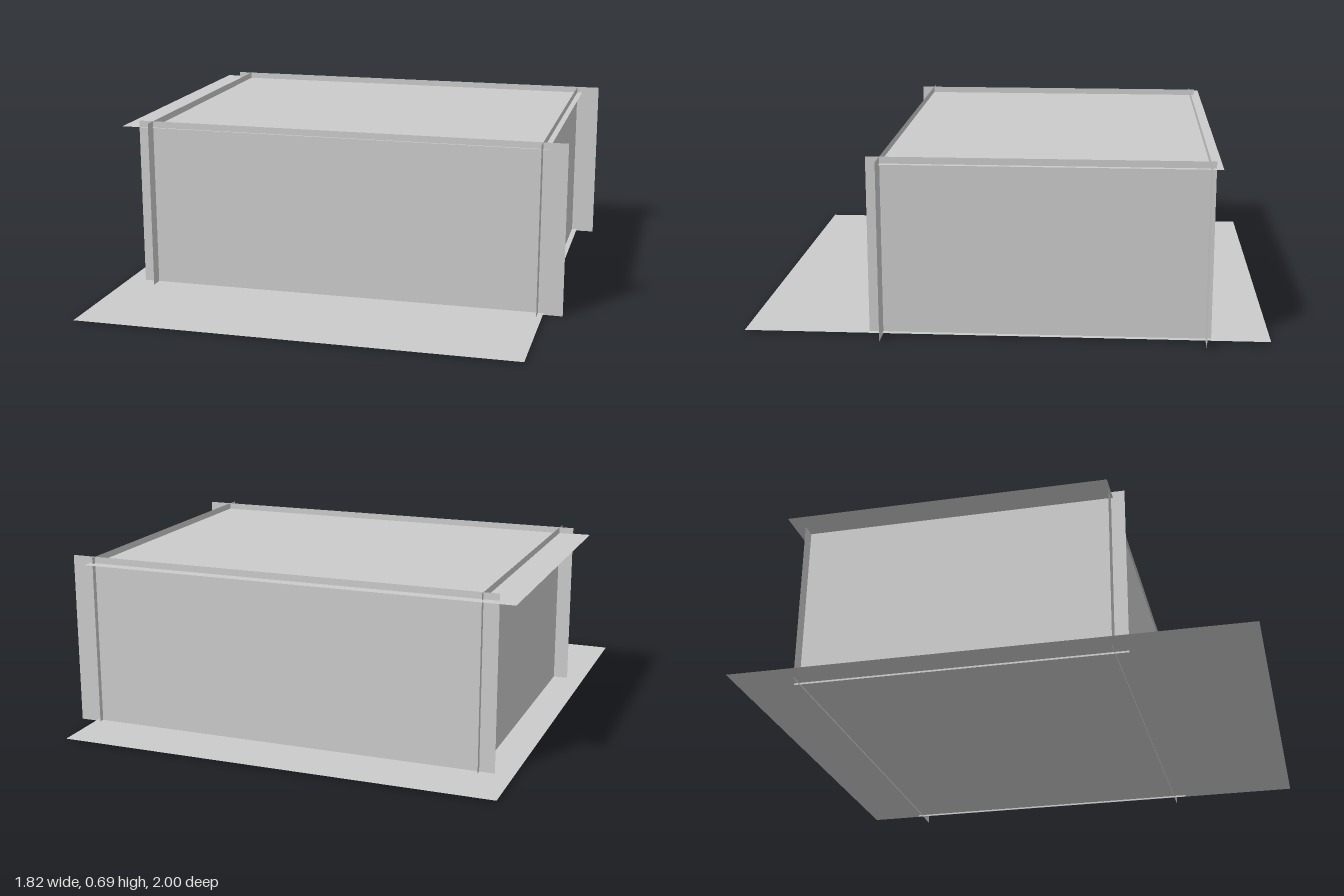
import * as THREE from 'three';

const material = new THREE.MeshStandardMaterial({ color: 0xcccccc, side: THREE.DoubleSide, flatShading: true });

// Flat sheet filling the given ranges; one axis is a single value.
function sheet(name, x, y, z) {
  const mid = (r) => (Array.isArray(r) ? (r[0] + r[1]) / 2 : r);
  const len = (r) => r[1] - r[0];
  let geometry;
  if (!Array.isArray(x)) geometry = new THREE.PlaneGeometry(len(z), len(y)).rotateY(Math.PI / 2);
  else if (!Array.isArray(y)) geometry = new THREE.PlaneGeometry(len(x), len(z)).rotateX(-Math.PI / 2);
  else geometry = new THREE.PlaneGeometry(len(x), len(y));
  const mesh = new THREE.Mesh(geometry, material);
  mesh.name = name;
  mesh.position.set(mid(x), mid(y), mid(z));
  return mesh;
}

export function createModel() {
  const group = new THREE.Group();
  group.name = 'sheetBox';

  const wallY = [0, 0.69];
  const slabX = [-0.91, 0.835];
  const frontBackX = [-0.838, 0.91];
  const sideZ = [-0.778, 0.52];

  // Horizontal sheets, held slightly inside the wall edges
  group.add(sheet('floor', slabX, 0.007, [-1, 1]));
  group.add(sheet('roof', slabX, 0.664, [-0.803, 0.475]));

  // Crossing walls that run past each other at the corners
  group.add(sheet('frontWall', frontBackX, wallY, 0.467));
  group.add(sheet('backWall', frontBackX, wallY, -0.757));
  group.add(sheet('leftWall', 0.813, wallY, sideZ));
  group.add(sheet('rightWall', -0.778, wallY, sideZ));

  return group;
}
